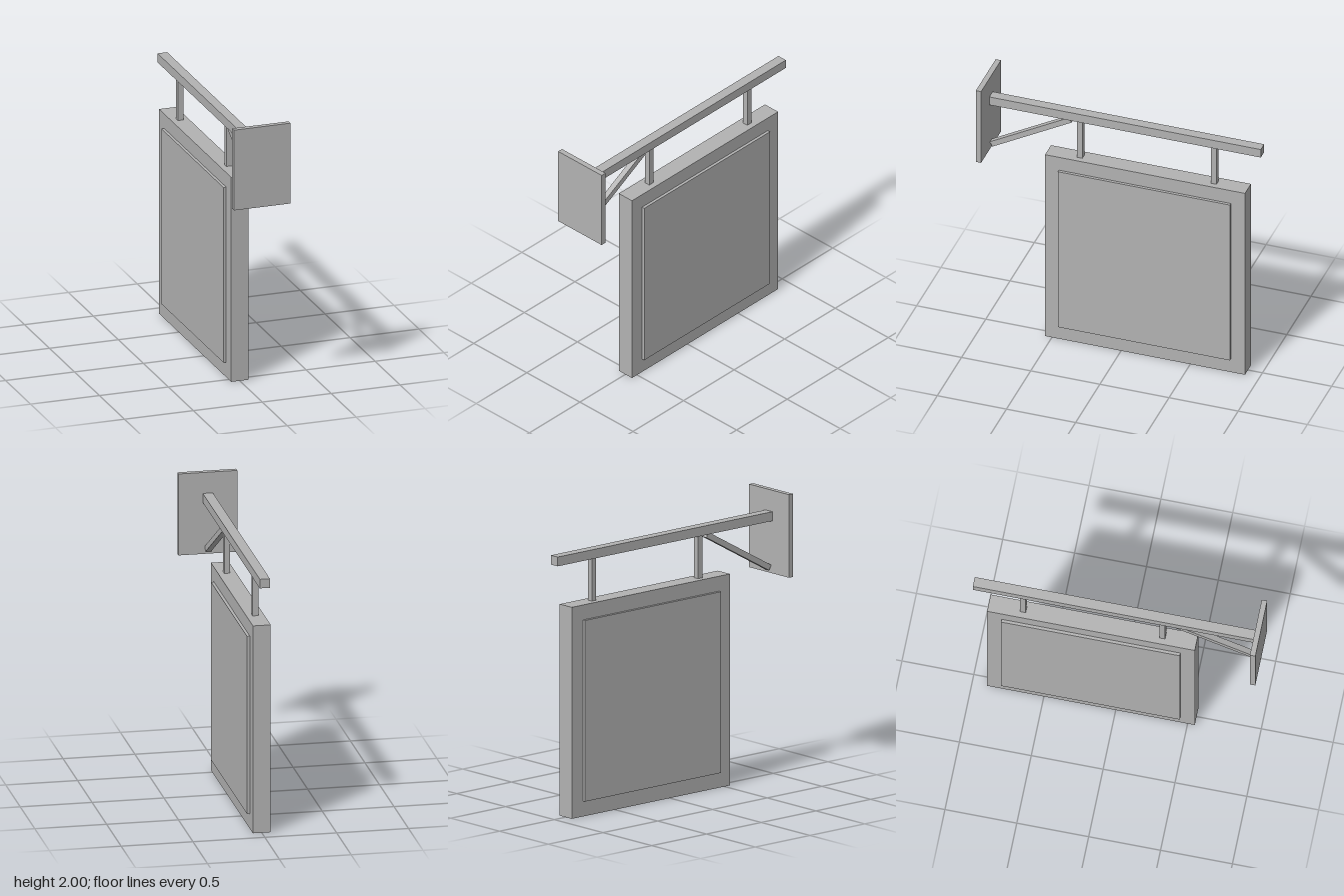
import * as THREE from 'three';

export function createModel() {
  const group = new THREE.Group();
  const grey = new THREE.MeshStandardMaterial({ color: 0xb2b2b2 });
  grey.name = 'grey';

  // Box centred on x = 0, given its width and its y and z ranges
  const addBox = (name, width, y0, y1, z0, z1) => {
    const mesh = new THREE.Mesh(new THREE.BoxGeometry(width, y1 - y0, z1 - z0), grey);
    mesh.name = name;
    mesh.position.set(0, (y0 + y1) / 2, (z0 + z1) / 2);
    group.add(mesh);
    return mesh;
  };

  // Wall bracket
  addBox('wallPlate', 0.41, 1.417, 2, 0.962, 1);
  addBox('beam', 0.07, 1.785, 1.85, -1, 0.962);

  // Diagonal brace from the plate up to the underside of the beam
  const low = new THREE.Vector2(0.955, 1.455);
  const high = new THREE.Vector2(0.382, 1.778);
  const mid = low.clone().add(high).divideScalar(2);
  const half = low.distanceTo(high) / 2;
  const brace = addBox('brace', 0.04, mid.y - 0.02, mid.y + 0.02, mid.x - half, mid.x + half);
  brace.rotation.x = Math.atan2(high.y - low.y, low.x - high.x);

  // Hangers
  for (const z of [0.315, -0.655]) addBox('hanger', 0.04, 1.485, 1.785, z - 0.02, z + 0.02);

  // Sign board with a raised panel on both sides
  addBox('board', 0.124, 0, 1.485, -0.895, 0.55);
  addBox('raisedPanels', 0.165, 0.108, 1.38, -0.793, 0.45);

  return group;
}
